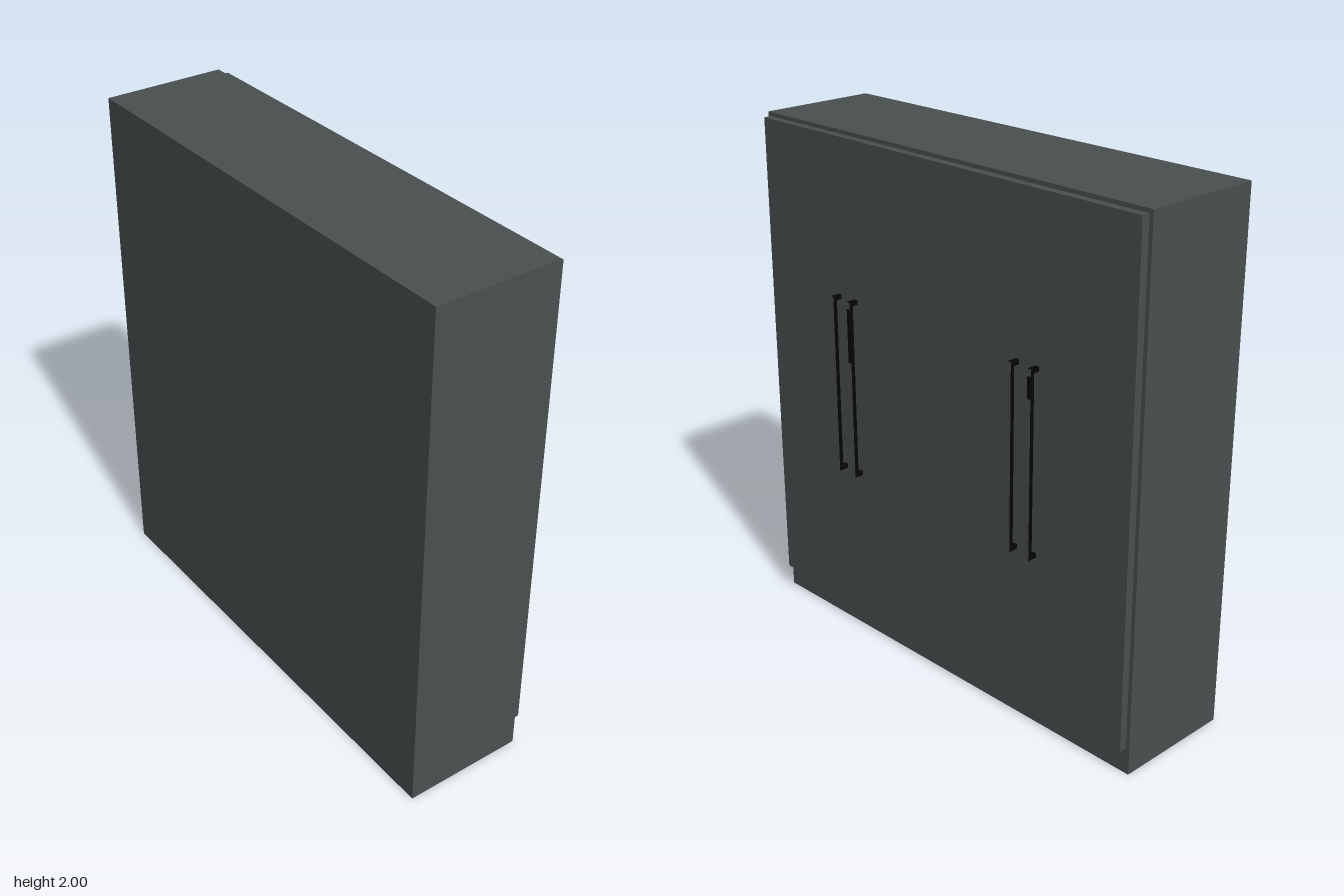
import * as THREE from 'three';

export function createModel() {
  const model = new THREE.Group();
  model.name = 'wardrobe';
  const grey = new THREE.MeshStandardMaterial({ color: 0x4a5050 });
  grey.name = 'slate grey';
  const black = new THREE.MeshStandardMaterial({ color: 0x050505 });
  black.name = 'black';

  // Materials per box face: +x, -x, +y, -y, +z, -z
  const blackUnderside = [grey, grey, grey, black, grey, grey];
  const greyFront = [grey, black, black, black, black, black];

  // Box given by its minimum and maximum corners
  function box(name, material, min, max, parent = model) {
    const size = max.map((v, i) => v - min[i]);
    const mesh = new THREE.Mesh(new THREE.BoxGeometry(...size), material);
    mesh.position.set(...max.map((v, i) => (v + min[i]) / 2));
    mesh.name = name;
    parent.add(mesh);
  }

  // Cabinet body, reaching down to the plinth
  box('cabinet', blackUnderside, [-0.275, 0, -0.93], [0.198, 2, 0.93]);

  // Four flush doors on the +x side
  const doorWidth = 0.915 / 2;
  for (let i = 0; i < 4; i++) {
    const z = -0.915 + i * doorWidth;
    box('door', blackUnderside, [0.198, 0.1, z], [0.229, 1.985, z + doorWidth]);
  }

  // Bar handles in pairs: black with a grey front face, on two short posts.
  // Two of them have a black stretch near the top, starting at darkFrom.
  const half = 0.008, bottom = 0.695, top = 1.397, darkTo = 1.37;
  const handles = [[-0.503, 1.29], [-0.412, darkTo], [0.412, 1.16], [0.503, darkTo]];
  for (const [z, darkFrom] of handles) {
    const handle = new THREE.Group();
    handle.name = 'handle';
    const grip = (material, y0, y1) =>
      box('grip', material, [0.255, y0, z - half], [0.271, y1, z + half], handle);
    grip(greyFront, bottom, darkFrom);
    if (darkFrom < darkTo) grip(black, darkFrom, darkTo);
    grip(greyFront, darkTo, top);
    for (const y of [bottom, top - 0.017]) {
      box('post', black, [0.233, y, z - half], [0.255, y + 0.017, z + half], handle);
    }
    model.add(handle);
  }

  return model;
}
